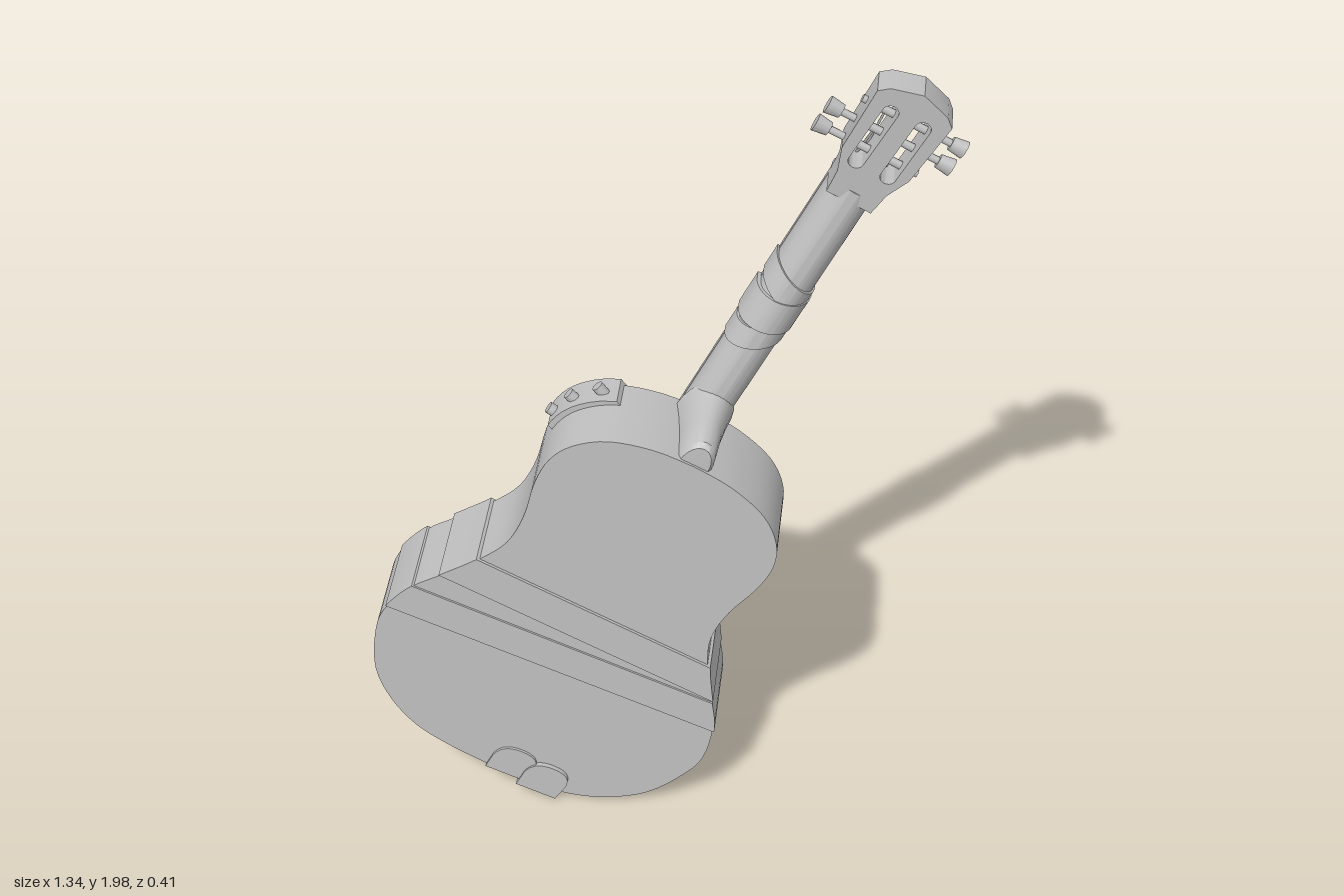
import * as THREE from 'three';
import { toCreasedNormals } from 'three/addons/utils/BufferGeometryUtils.js';

const grey = new THREE.MeshStandardMaterial({ color: 0xc0c0c0 });
grey.name = 'plain grey';
const DEPTH = 0.222; // back plate at z = 0, soundboard at z = -DEPTH

// Half outline of the body: half width against height along the neck axis
const half = new THREE.SplineCurve([
  [0, -0.014], [0.11, -0.01], [0.21, 0.006], [0.3, 0.05], [0.375, 0.12], [0.422, 0.22],
  [0.436, 0.3], [0.41, 0.4], [0.36, 0.48], [0.305, 0.57], [0.272, 0.65], [0.272, 0.74],
  [0.293, 0.84], [0.294, 0.92], [0.265, 0.985], [0.2, 1.04], [0.1, 1.072], [0, 1.08],
].map(([x, y]) => new THREE.Vector2(x, y))).getPoints(68);

function widthAt(v) {
  for (let i = 1; i < half.length; i++) {
    const a = half[i - 1], b = half[i];
    if (v >= a.y && v <= b.y) return a.x + (b.x - a.x) * (v - a.y) / (b.y - a.y || 1);
  }
  return 0;
}

export function createModel() {
  const model = new THREE.Group();
  const guitar = new THREE.Group();
  guitar.name = 'guitar';
  model.add(guitar);

  const add = (name, geo, crease = 0.6) => {
    const mesh = new THREE.Mesh(crease ? toCreasedNormals(geo, crease) : geo, grey);
    mesh.name = name;
    guitar.add(mesh);
    return mesh;
  };
  const slab = (name, shape, z0, z1) => add(name,
    new THREE.ExtrudeGeometry(shape, { depth: z1 - z0, bevelEnabled: false, curveSegments: 12 }).translate(0, 0, z0));
  const box = (name, w, h, d, x, y, z, turn = 0) => {
    const m = add(name, new THREE.BoxGeometry(w, h, d), 0);
    m.position.set(x, y, z);
    m.rotation.z = turn;
    return m;
  };
  const rod = (name, a, b, r, sides = 8) => {
    const from = new THREE.Vector3(...a), dir = new THREE.Vector3(...b).sub(from);
    const m = add(name, new THREE.CylinderGeometry(r, r, dir.length(), sides), 0);
    m.position.copy(from).addScaledVector(dir, 0.5);
    m.quaternion.setFromUnitVectors(new THREE.Vector3(0, 1, 0), dir.normalize());
  };
  const points = (list) => new THREE.Shape(list.map(([x, y]) => new THREE.Vector2(x, y)));

  // Body
  const left = half.slice(1, -1).reverse().map((p) => new THREE.Vector2(-p.x, p.y));
  slab('body', new THREE.Shape([...half, ...left]), -DEPTH, 0);

  // Wraps round the waist, each edge given at the right and the left side
  const wrap = (r0, r1, l0, l1, grow) => {
    const pts = [];
    for (let i = 0; i <= 8; i++) {
      const v = r0 + (r1 - r0) * i / 8;
      pts.push([widthAt(v) + grow, v]);
    }
    for (let i = 8; i >= 0; i--) {
      const v = l0 + (l1 - l0) * i / 8;
      pts.push([-widthAt(v) - grow, v]);
    }
    slab('waistWrap', points(pts), -DEPTH - grow, grow);
  };
  wrap(0.478, 0.57, 0.478, 0.57, 0.008);
  wrap(0.39, 0.47, 0.32, 0.41, 0.005);

  // Patches folded over the bottom edge
  for (const [u, base, top, grow] of [[0.045, -0.018, 0.075, 0.007], [0.135, -0.026, 0.07, 0.012]]) {
    const s = new THREE.Shape();
    s.moveTo(u - 0.055, base);
    s.lineTo(u + 0.05, base + 0.008);
    s.lineTo(u + 0.055, top - 0.04);
    s.quadraticCurveTo(u + 0.055, top, u + 0.01, top);
    s.quadraticCurveTo(u - 0.05, top, u - 0.055, top - 0.05);
    slab('bottomPatch', s, -DEPTH - grow, grow);
  }

  // Bolted patch folded over one shoulder
  const outer = [], inner = [];
  for (let i = 0; i <= 8; i++) {
    const v = 0.9 + 0.145 * i / 8;
    outer.push([-widthAt(v) - 0.014, v + 0.005]);
    inner.unshift([-widthAt(v) + 0.07, v - 0.035]);
  }
  slab('shoulderPatch', points([...inner, ...outer]), -DEPTH - 0.01, -DEPTH + 0.08);
  for (const v of [0.92, 0.975, 1.025]) {
    const w = widthAt(v), z = -DEPTH - 0.005;
    rod('shoulderBolt', [-w + 0.035, v - 0.015, z], [-w + 0.035, v - 0.015, z - 0.018], 0.014, 12);
    const k = (v - 0.88) * 5;
    rod('shoulderBolt', [-w, v, -0.18], [-w - 0.03, v + 0.02 * k, -0.18], 0.014, 12);
  }

  // Sound hole rim and broken rosette arcs
  const rim = (r0, r1, a0, a1) => {
    const s = new THREE.Shape();
    s.absarc(0, 0.76, r1, a0, a1, false);
    s.absarc(0, 0.76, r0, a1, a0, true);
    slab('rosette', s, -DEPTH - 0.004, -DEPTH + 0.002);
  };
  rim(0.094, 0.104, 0, Math.PI * 2 - 0.001);
  rim(0.145, 0.152, -0.9, 0.9);
  rim(0.145, 0.152, 2.1, 4.1);

  // Neck: a D section stretched between the fingerboard line and the back line
  const front = (v) => -0.237 - (v - 0.83) * 0.045;
  const back = (v) => -0.168 - (v - 1.1) * 0.024;
  const neckPiece = (name, v0, v1, grow, tilt) => {
    const s = new THREE.Shape();
    s.moveTo(-1, 0);
    s.lineTo(1, 0);
    s.lineTo(1, 0.25);
    s.absellipse(0, 0.25, 1, 0.75, 0, Math.PI, false);
    const g = new THREE.ExtrudeGeometry(s, { depth: 1, bevelEnabled: false, curveSegments: 20 });
    const p = g.attributes.position;
    for (let i = 0; i < p.count; i++) {
      const x = p.getX(i), t = p.getY(i);
      const v = v0 + (v1 - v0) * (1 - p.getZ(i));
      const f = front(v) + 0.006 - grow, b = back(v) + grow;
      p.setXYZ(i, x * (0.055 + grow), v + tilt * x, f + (b - f) * t);
    }
    add(name, g);
  };
  neckPiece('neck', 1.04, 1.8, 0, 0);
  neckPiece('neckWrap', 1.325, 1.385, 0.005, 0.03);
  neckPiece('neckWrap', 1.38, 1.47, 0.009, 0.012);
  neckPiece('neckWrap', 1.46, 1.525, 0.006, -0.022);

  // Fingerboard, nut and heel
  const board = box('fingerboard', 0.112, 0.96, 0.012, 0, 1.31, front(1.31) + 0.006);
  board.rotation.x = -0.045;
  box('nut', 0.112, 0.014, 0.024, 0, 1.79, front(1.79));
  const heel = new THREE.LatheGeometry([[0, -0.205], [0.066, -0.205], [0.057, -0.16], [0.048, -0.1],
    [0.042, -0.02], [0.035, -0.008], [0, -0.006]].map(([r, z]) => new THREE.Vector2(r, z)), 24);
  add('heel', heel.rotateX(Math.PI / 2).scale(1, 1.6, 1).translate(0, 1.075, 0));

  // Slotted headstock leaning back
  const head = points([[-0.056, 1.77], [0.056, 1.77], [0.062, 1.83], [0.084, 1.89], [0.092, 2.06],
    [0.07, 2.08], [0, 2.102], [-0.07, 2.08], [-0.092, 2.06], [-0.084, 1.89], [-0.062, 1.83]]);
  for (const u of [-0.04, 0.04]) {
    const slot = new THREE.Path();
    slot.moveTo(u - 0.018, 1.875);
    slot.absarc(u, 2.025, 0.018, Math.PI, 0, true);
    slot.absarc(u, 1.875, 0.018, 0, -Math.PI, true);
    head.holes.push(slot);
  }
  const headGeo = new THREE.ExtrudeGeometry(head, { depth: 0.082, bevelEnabled: false, curveSegments: 8 });
  const lean = (v) => (v - 1.77) * 0.09;
  const hp = headGeo.attributes.position;
  for (let i = 0; i < hp.count; i++) hp.setZ(i, hp.getZ(i) - 0.272 + lean(hp.getY(i)));
  add('headstock', headGeo);

  // Tuners: posts across the slots, with shafts and buttons outside
  for (const side of [-1, 1]) {
    [1.895, 1.95, 2.005].forEach((v, i) => {
      const z = -0.23 + lean(v);
      rod('tunerPost', [side * 0.015, v, z], [side * 0.065, v, z], 0.01);
      const missing = side < 0 ? i === 2 : i === 0;
      rod('tunerShaft', [side * 0.08, v, z], [side * (missing ? 0.1 : 0.125), v, z], 0.009);
      if (!missing) {
        const b = add('tunerButton', new THREE.CylinderGeometry(0.022, 0.017, 0.035, 10), 0);
        b.scale.z = 0.7;
        b.position.set(side * 0.138, v, z);
        b.rotation.z = -side * Math.PI / 2;
      }
    });
  }

  // Strings from bridge to nut, then to the tuner posts
  for (let i = 0; i < 6; i++) {
    const k = (i - 2.5) / 2.5, nut = [k * 0.038, 1.79, -0.293];
    rod('string', [k * 0.05, 0.29, -0.252], nut, 0.0035, 6);
    const v = [2.005, 1.95, 1.895][i < 3 ? 2 - i : i - 3];
    rod('string', nut, [Math.sign(k) * (0.032 + 0.004 * (i % 3)), v, -0.24 + lean(v)], 0.003, 6);
  }

  // Bridge with saddle, knobs and a loose end piece
  box('bridge', 0.25, 0.05, 0.022, -0.01, 0.3, -DEPTH - 0.01);
  box('saddle', 0.16, 0.014, 0.034, 0, 0.312, -DEPTH - 0.014);
  box('bridgeEnd', 0.04, 0.14, 0.016, 0.115, 0.27, -DEPTH - 0.008, 0.25);
  box('bridgeFoot', 0.055, 0.04, 0.022, 0.1, 0.205, -DEPTH - 0.01, 0.4);
  for (const [u, v] of [[-0.1, 0.3], [0.1, 0.205], [0.1, 0.3]]) {
    rod('bridgeKnob', [u, v, -DEPTH - 0.015], [u, v, -DEPTH - 0.034], 0.016, 12);
  }

  // Slanted resting pose
  guitar.rotation.set(-0.01, 0.088, -0.476, 'YXZ');
  guitar.position.set(-0.365, 0.112, 0.174);
  return model;
}
